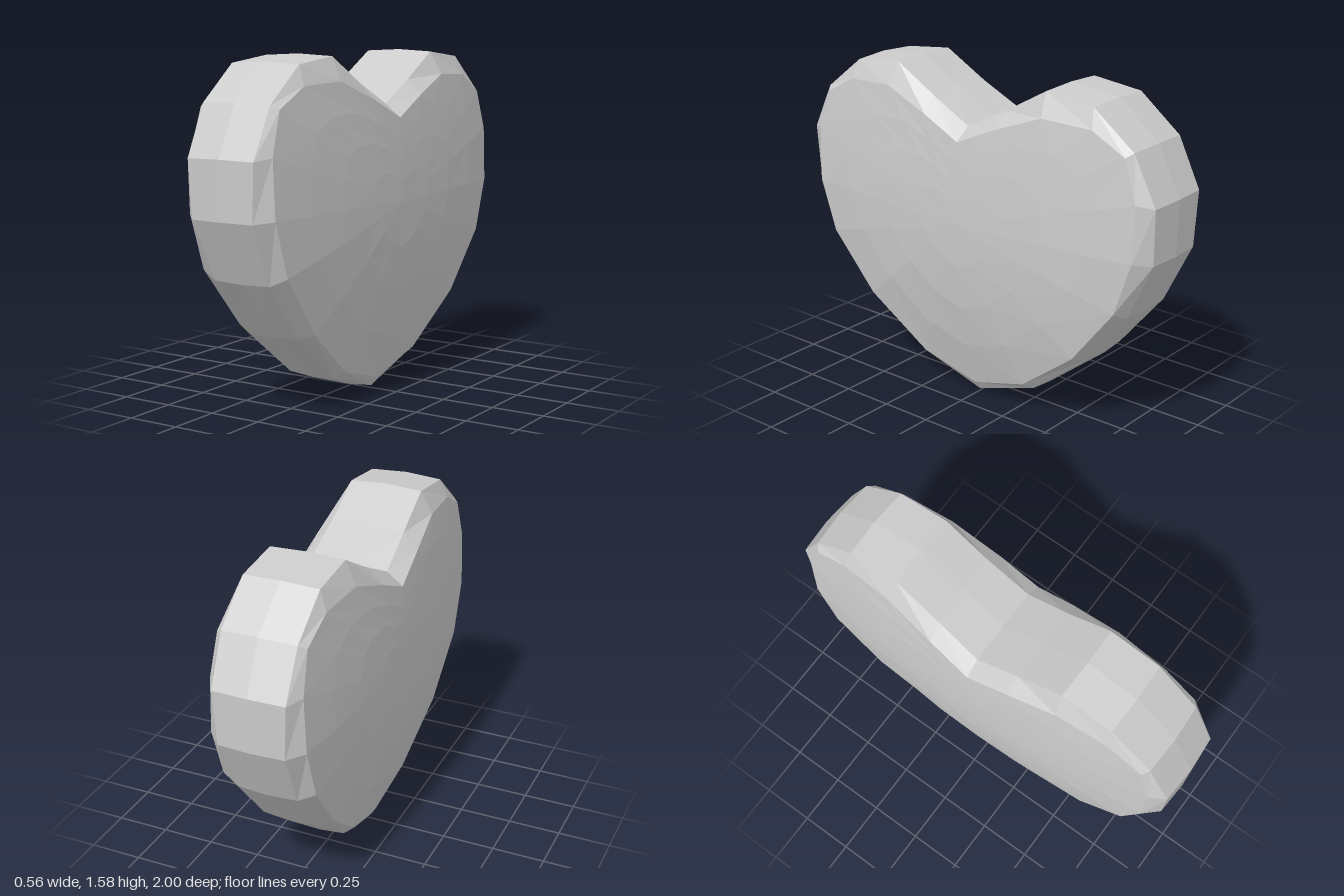
import * as THREE from 'three';

// Half of the heart, from cleft to tip: rim z, rim y, face-edge z, face-edge y, rim half width
const HALF = [
  [0, 1.345, 0, 1.28, 0.187],
  [0.21, 1.45, 0.2, 1.37, 0.178],
  [0.43, 1.575, 0.44, 1.46, 0.175],
  [0.68, 1.547, 0.69, 1.45, 0.175],
  [0.888, 1.385, 0.855, 1.36, 0.172],
  [1, 1.16, 0.918, 1.17, 0.168],
  [0.992, 0.9, 0.915, 0.91, 0.155],
  [0.86, 0.62, 0.83, 0.66, 0.143],
  [0.64, 0.35, 0.605, 0.38, 0.135],
  [0.335, 0.11, 0.3, 0.145, 0.122],
  [0, 0, 0, 0.055, 0.11],
];
const CENTRE_Y = 0.9;

// Bulge of the cheeks: thickest near the middle, thinner to the tip and sides
function bulge(y, z) {
  const d = y - CENTRE_Y;
  return 0.28 - (d < 0 ? 0.196 : 0.12) * d * d - 0.07 * z * z;
}

export function createModel() {
  const outline = [
    ...HALF,
    ...HALF.slice(1, -1).reverse().map(([z, y, fz, fy, w]) => [-z, y, -fz, fy, w]),
  ];

  // Cross-section loops running over one face, round the rim and over the other
  const faceRing = (side, scale) => outline.map(([, , fz, fy]) => {
    const z = fz * scale, y = CENTRE_Y + (fy - CENTRE_Y) * scale;
    return [side * bulge(y, z), y, z];
  });
  const rimEdge = (side) => outline.map(([z, y, , , w]) =>
    [side * w, CENTRE_Y + (y - CENTRE_Y) * 0.987, z * 0.99]);
  const rimCrown = outline.map(([z, y]) => [0, y, z]);

  const scales = [0, 0.25, 0.5, 0.75, 1];
  const rings = [
    ...scales.map((s) => faceRing(1, s)),
    rimEdge(1),
    rimCrown,
    rimEdge(-1),
    ...scales.slice().reverse().map((s) => faceRing(-1, s)),
  ];

  const n = outline.length;
  const index = [];
  for (let r = 0; r < rings.length - 1; r++) {
    for (let i = 0; i < n; i++) {
      const j = (i + 1) % n;
      const a = r * n + i, b = a + n, c = (r + 1) * n + j, d = r * n + j;
      if (r < rings.length - 2) index.push(a, b, c);
      if (r > 0) index.push(a, c, d);
    }
  }

  const geometry = new THREE.BufferGeometry();
  geometry.setAttribute('position', new THREE.Float32BufferAttribute(rings.flat(2), 3));
  geometry.setIndex(index);
  const faceted = geometry.toNonIndexed();
  faceted.computeVertexNormals();

  const heart = new THREE.Mesh(
    faceted,
    new THREE.MeshStandardMaterial({ color: 0xcccccc, flatShading: true }),
  );
  heart.name = 'heart';

  const model = new THREE.Group();
  model.name = 'heartModel';
  model.add(heart);
  return model;
}
